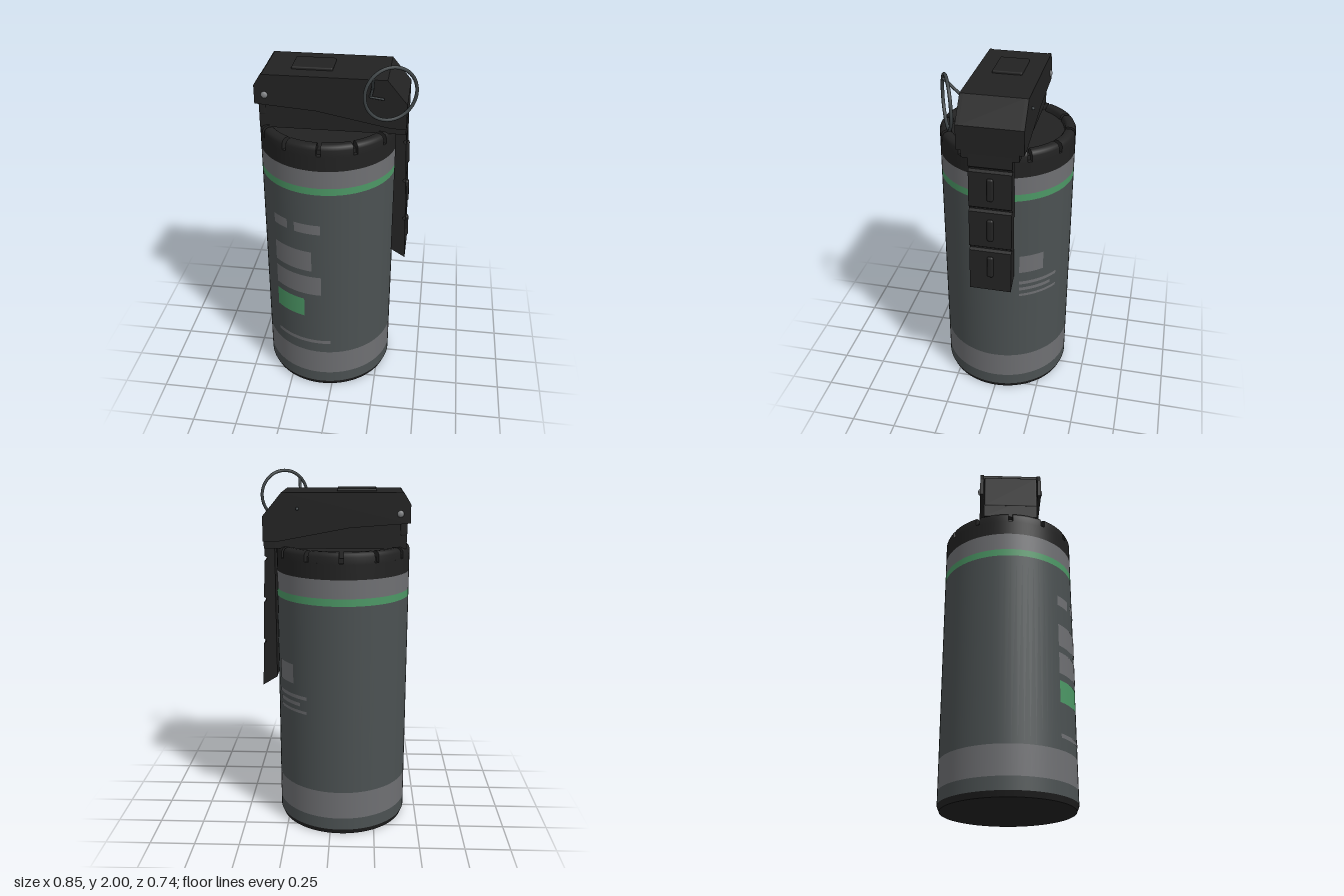
import * as THREE from 'three';
import { RoundedBoxGeometry } from 'three/addons/geometries/RoundedBoxGeometry.js';

const CX = -0.06; // canister axis
const R = 0.37;   // canister radius

const mat = (name, color, side = THREE.FrontSide) => {
  const m = new THREE.MeshStandardMaterial({ color, side });
  m.name = name;
  return m;
};

export function createModel() {
  const black = mat('black plastic', 0x222222);
  const blackThin = mat('black rim', 0x222222, THREE.DoubleSide);
  const bodyGrey = mat('body grey', 0x4b5152);
  const bandGrey = mat('band grey', 0x6e6f72);
  const green = mat('green', 0x4c9765);
  const steel = mat('dark steel', 0x3c4244);
  const rivetGrey = mat('rivet grey', 0x808284);

  const model = new THREE.Group();
  const add = (name, geometry, material, x = 0, y = 0, z = 0, parent = model) => {
    const mesh = new THREE.Mesh(geometry, material);
    mesh.name = name;
    mesh.position.set(x, y, z);
    parent.add(mesh);
    return mesh;
  };
  const vectors = (pts) => pts.map(([x, y]) => new THREE.Vector2(x, y));
  // Extrudes a side profile in x and y between two z planes
  const slab = (pts, z0, z1) => {
    const g = new THREE.ExtrudeGeometry(new THREE.Shape(vectors(pts)), { depth: z1 - z0, bevelEnabled: false });
    return g.translate(0, 0, z0);
  };
  const rod = (name, a, b, r, material) => {
    const path = new THREE.LineCurve3(new THREE.Vector3(...a), new THREE.Vector3(...b));
    return add(name, new THREE.CapsuleGeometry(r, path.getLength(), 4, 10), material).
      position.copy(path.getPoint(0.5)) && model.children.at(-1).quaternion.setFromUnitVectors(
      new THREE.Vector3(0, 1, 0), path.getTangent(0));
  };

  // Canister body: stacked colour bands
  const bands = [
    ['lowerBody', 0.03, 0.1, bodyGrey],
    ['lowerBand', 0.1, 0.26, bandGrey],
    ['mainBody', 0.26, 1.33, bodyGrey],
    ['greenStripe', 1.33, 1.37, green],
    ['upperBand', 1.37, 1.47, bandGrey],
  ];
  for (const [name, y0, y1, m] of bands) {
    add(name, new THREE.CylinderGeometry(R, R, y1 - y0, 72, 1, true), m, CX, (y0 + y1) / 2);
  }
  add('base', new THREE.CylinderGeometry(R, R - 0.012, 0.03, 72), black, CX, 0.015);

  // Cap: lower collar, recessed core and a rim split by twelve notches
  add('capCollar', new THREE.CylinderGeometry(R, R, 0.085, 72), black, CX, 1.5125);
  add('capCore', new THREE.CylinderGeometry(0.345, 0.345, 0.03, 72), black, CX, 1.565);
  const rim = new THREE.Group();
  rim.name = 'capRim';
  rim.position.x = CX;
  model.add(rim);
  const rimProfile = vectors([[R, 1.55], [R, 1.588], [0.362, 1.604], [0.345, 1.612],
    [0.322, 1.612], [0.31, 1.6], [0.305, 1.57]]);
  const endShape = new THREE.ShapeGeometry(new THREE.Shape([...rimProfile, new THREE.Vector2(0.305, 1.55)]));
  const step = Math.PI / 6;
  const gap = 0.032;
  for (let i = 0; i < 12; i++) {
    const start = i * step + gap;
    const length = step - 2 * gap;
    add('rimSegment', new THREE.LatheGeometry(rimProfile, 8, start, length), blackThin, 0, 0, 0, rim);
    for (const phi of [start, start + length]) {
      add('rimEnd', endShape, blackThin, 0, 0, 0, rim).rotation.y = phi - Math.PI / 2;
    }
  }

  // Curved label patches, laid just over the body
  const LR = R + 0.002;
  const patch = (name, t0, t1, y0, y1, m) =>
    add(name, new THREE.CylinderGeometry(LR, LR, y1 - y0, 12, 1, true, t0, t1 - t0), m, CX, (y0 + y1) / 2);
  const frontAngle = (x) => Math.asin((x - CX) / LR);
  const sideAngle = (z) => Math.acos(z / LR);
  const frontLabels = [
    [-0.325, -0.245, 1.085, 1.143, bandGrey],
    [-0.203, -0.055, 1.085, 1.143, bandGrey],
    [-0.325, -0.108, 0.84, 0.968, bandGrey],
    [-0.325, -0.055, 0.68, 0.802, bandGrey],
    [-0.325, -0.155, 0.518, 0.64, green],
    [-0.325, -0.005, 0.326, 0.348, bandGrey],
  ];
  for (const [x0, x1, y0, y1, m] of frontLabels) patch('frontLabel', frontAngle(x0), frontAngle(x1), y0, y1, m);
  const sideLabels = [[-0.26, 0.868, 0.978], [-0.32, 0.788, 0.808], [-0.295, 0.746, 0.766], [-0.32, 0.706, 0.722]];
  for (const [z1, y0, y1] of sideLabels) patch('sideLabel', sideAngle(-0.14), sideAngle(z1), y0, y1, bandGrey);

  // Head: housing between two cheek plates, over a neck block
  const lower = [[-0.1, 1.715], [0.29, 1.64], [0.367, 1.64], [0.367, 1.775], [0.263, 1.9]];
  add('housing', slab([[-0.38, 1.735], ...lower, [-0.38, 1.9]], -0.155, 0.155), black);
  for (const [z0, z1] of [[-0.175, -0.155], [0.155, 0.175]]) {
    add('cheekPlate', slab([[-0.422, 1.74], ...lower, [-0.385, 1.9], [-0.422, 1.84]], z0, z1), black);
  }
  add('hingePlate', new RoundedBoxGeometry(0.04, 0.2, 0.305, 2, 0.01), black, -0.387, 1.77, 0);
  add('neckBlock', slab([[-0.405, 1.6], [0.3, 1.6], [0.3, 1.67], [-0.1, 1.75], [-0.405, 1.75]], -0.15, 0.15), black);
  add('leverRoot', slab([[0.3, 1.6], [0.365, 1.6], [0.365, 1.65], [0.3, 1.65]], -0.15, 0.15), black);
  add('topPad', new RoundedBoxGeometry(0.215, 0.035, 0.162, 2, 0.008), black, -0.135, 1.897, 0);
  for (const s of [-1, 1]) {
    add('rivet', new THREE.SphereGeometry(0.018, 16, 10).scale(1, 1, 0.6), rivetGrey, -0.368, 1.79, s * 0.176);
  }

  // Safety lever: slightly flared strip with cross grooves and raised ribs
  const outerX = (y) => 0.391 - (y - 0.81) * 0.032;
  const lever = [[0.31, 1.64], [0.31, 0.86], [outerX(0.81), 0.81]];
  for (const y of [1.07, 1.31, 1.54]) {
    lever.push([outerX(y), y - 0.015], [outerX(y) - 0.014, y - 0.004],
      [outerX(y) - 0.014, y + 0.004], [outerX(y), y + 0.015]);
  }
  lever.push([outerX(1.64), 1.64]);
  add('lever', slab(lever, -0.115, 0.115), black);
  for (const y of [0.96, 1.19, 1.43]) {
    add('leverRib', new RoundedBoxGeometry(0.03, 0.13, 0.036, 3, 0.012), black, outerX(y) - 0.003, y, 0).rotation.z = 0.032;
  }

  // Pull ring and its pin
  add('pullRing', new THREE.TorusGeometry(0.137, 0.009, 10, 56), steel, 0.285, 1.855, 0.235).rotation.y = 0.434;
  rod('pin', [0.18, 1.815, -0.18], [0.18, 1.815, 0.18], 0.009, steel);
  rod('pinFoot', [0.18, 1.812, 0.185], [0.245, 1.804, 0.185], 0.006, steel);
  rod('pinArm', [0.182, 1.82, 0.183], [0.19, 1.86, 0.19], 0.007, steel);
  rod('pinLink', [0.19, 1.86, 0.19], [0.2, 1.945, 0.276], 0.008, steel);

  return model;
}
